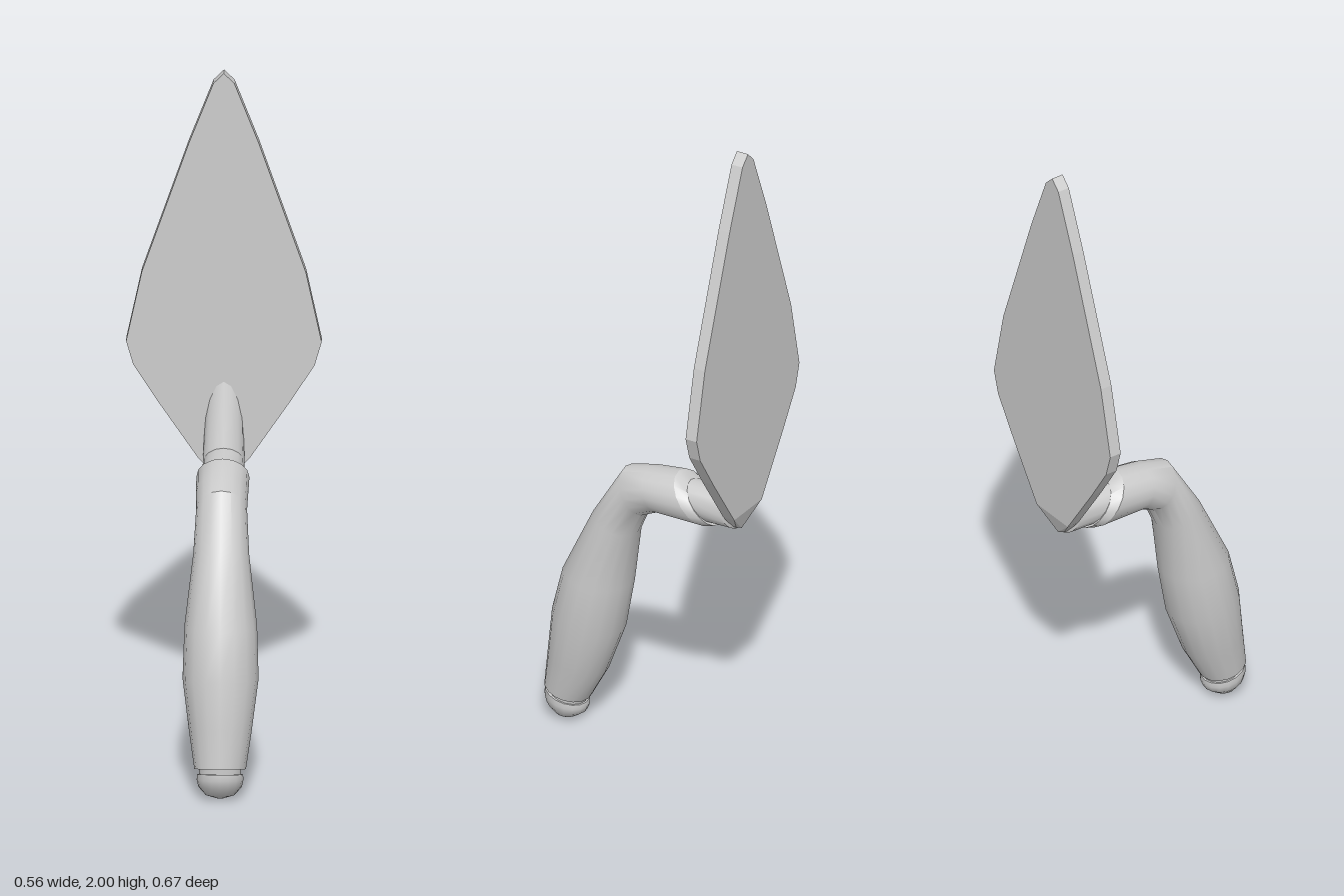
import * as THREE from 'three';
import { toCreasedNormals } from 'three/addons/utils/BufferGeometryUtils.js';

const SIDES = 16;

// Loft of elliptical rings. Each ring: [zA, yA, zB, yB, halfWidth],
// where A and B are the outer and inner points in the side plane.
function loft(rings, crease) {
  const pos = [], idx = [];
  for (const [za, ya, zb, yb, rx] of rings) {
    for (let j = 0; j < SIDES; j++) {
      const t = (j / SIDES) * Math.PI * 2, c = Math.cos(t) / 2;
      pos.push(rx * Math.sin(t), (ya + yb) / 2 + c * (ya - yb), (za + zb) / 2 + c * (za - zb));
    }
  }
  const last = rings.length - 1;
  for (let i = 0; i < last; i++) {
    for (let j = 0; j < SIDES; j++) {
      const k = (j + 1) % SIDES, a = i * SIDES, b = a + SIDES;
      idx.push(a + j, a + k, b + k, a + j, b + k, b + j);
    }
  }
  // end caps
  for (let j = 1; j < SIDES - 1; j++) {
    idx.push(0, j + 1, j);
    idx.push(last * SIDES, last * SIDES + j, last * SIDES + j + 1);
  }
  const g = new THREE.BufferGeometry();
  g.setAttribute('position', new THREE.Float32BufferAttribute(pos, 3));
  g.setIndex(idx);
  return toCreasedNormals(g, crease);
}

export function createModel() {
  const group = new THREE.Group();
  const grey = new THREE.MeshStandardMaterial({ color: 0xcccccc });
  grey.name = 'light grey';
  const add = (name, geometry) => {
    const mesh = new THREE.Mesh(geometry, grey);
    mesh.name = name;
    group.add(mesh);
  };

  // Leaf-shaped blade, mirrored about x = 0
  const half = [[0.03, 0.79], [0.075, 0.84], [0.19, 1.01], [0.26, 1.12], [0.28, 1.19],
    [0.235, 1.4], [0.1, 1.79], [0.03, 1.97]];
  const outline = [[0, 0.775], ...half, [0, 2], ...half.map(([x, y]) => [-x, y]).reverse()];
  const shape = new THREE.Shape(outline.map(([x, y]) => new THREE.Vector2(x, y)));
  const blade = new THREE.ExtrudeGeometry(shape, { depth: 0.037, bevelEnabled: false });
  blade.translate(0, 0, -0.337);
  // chamfer the back of the heel
  const p = blade.attributes.position;
  for (let i = 0; i < p.count; i++) {
    if (p.getY(i) < 0.8 && p.getZ(i) < -0.32) p.setZ(i, -0.316);
  }
  blade.computeVertexNormals();
  add('blade', blade);

  // Cranked grip
  add('handle', loft([
    [0.335, 0.11, 0.2, 0.07, 0.074],
    [0.322, 0.22, 0.145, 0.17, 0.09],
    [0.305, 0.36, 0.09, 0.32, 0.109],
    [0.27, 0.5, 0.06, 0.48, 0.104],
    [0.17, 0.71, 0.035, 0.66, 0.08],
    [0.075, 0.865, 0.005, 0.73, 0.073],
    [-0.01, 0.888, -0.05, 0.757, 0.075],
    [-0.105, 0.902, -0.21, 0.757, 0.076],
  ], 0.7));

  // Bevelled collar at the end of the grip
  add('collar', loft([
    [-0.105, 0.902, -0.21, 0.757, 0.076],
    [-0.145, 0.884, -0.24, 0.765, 0.062],
  ], 0.6));

  // Neck flaring up into the blade face
  add('neck', loft([
    [-0.12, 0.884, -0.22, 0.772, 0.06],
    [-0.252, 0.884, -0.308, 0.775, 0.06],
    [-0.303, 1.08, -0.325, 0.81, 0.055],
  ], 0.6));

  // Groove and rounded butt cap
  add('groove', loft([
    [0.32, 0.09, 0.212, 0.056, 0.06],
    [0.32, 0.112, 0.205, 0.078, 0.06],
  ], 0.6));
  add('buttCap', loft([
    [0.281, 0.005, 0.263, 0.002, 0.01],
    [0.308, 0.02, 0.236, 0.008, 0.042],
    [0.33, 0.05, 0.212, 0.024, 0.062],
    [0.337, 0.075, 0.205, 0.042, 0.067],
    [0.334, 0.094, 0.207, 0.056, 0.066],
  ], 0.8));

  return group;
}
